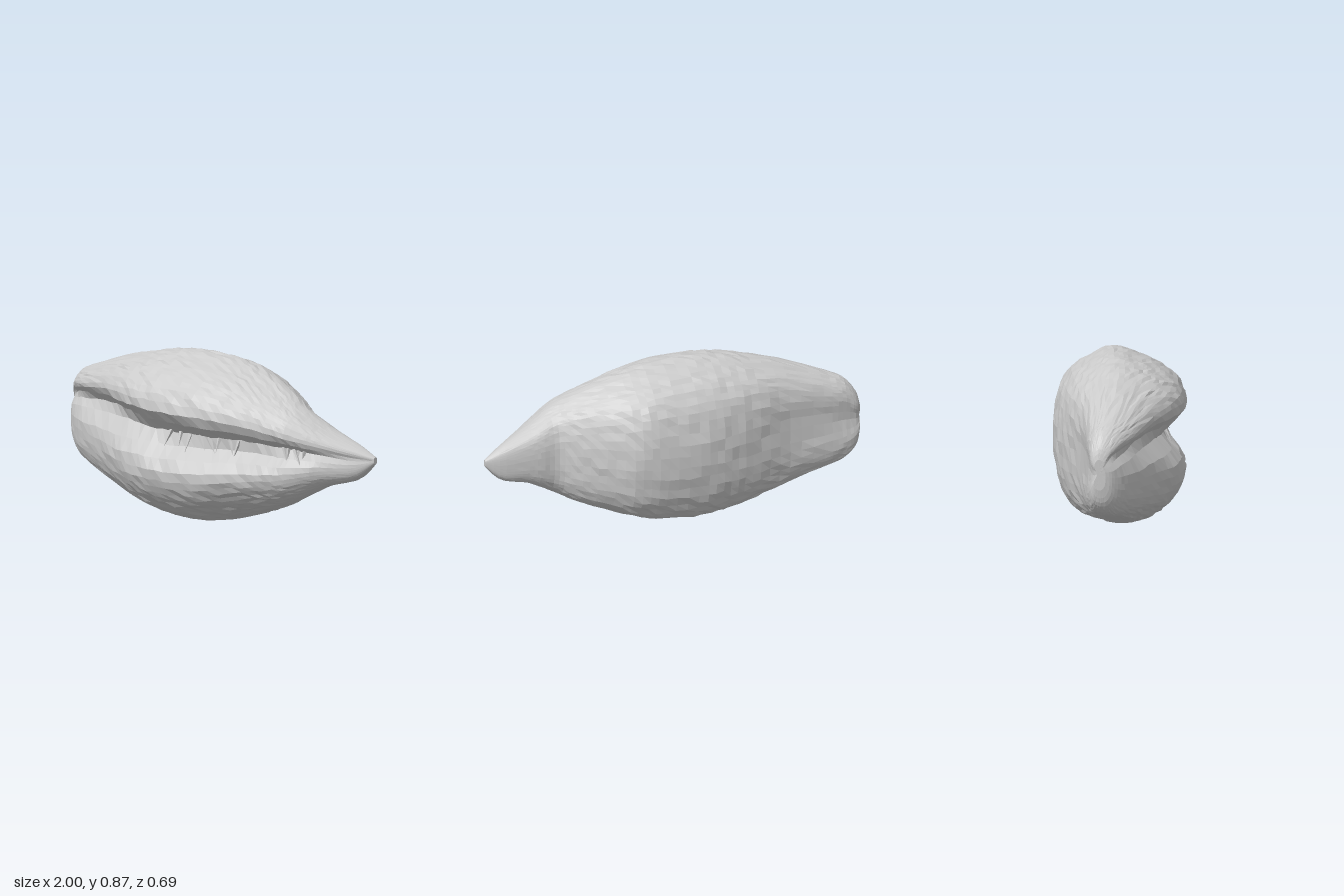
import * as THREE from 'three';

// Stations along the grain: x, bottom y, top y, back z, front z, groove depth, groove y,
// squareness (1 = round slice, lower = fuller corners)
const STATIONS = [
  [-1.0, 0.37, 0.53, -0.105, -0.045, 0.01, 0.49, 0.8],
  [-0.98, 0.29, 0.59, -0.125, -0.005, 0.035, 0.52, 0.78],
  [-0.92, 0.225, 0.66, -0.14, 0.05, 0.05, 0.535, 0.76],
  [-0.82, 0.185, 0.70, -0.155, 0.11, 0.06, 0.54, 0.76],
  [-0.6, 0.115, 0.775, -0.193, 0.205, 0.09, 0.535, 0.8],
  [-0.4, 0.058, 0.825, -0.26, 0.298, 0.11, 0.515, 0.86],
  [-0.25, 0.018, 0.855, -0.305, 0.338, 0.12, 0.49, 0.94],
  [-0.1, 0.0, 0.866, -0.332, 0.345, 0.13, 0.47, 0.97],
  [0.1, 0.018, 0.853, -0.343, 0.332, 0.14, 0.455, 0.97],
  [0.25, 0.06, 0.82, -0.328, 0.293, 0.13, 0.455, 0.97],
  [0.4, 0.11, 0.768, -0.25, 0.247, 0.11, 0.455, 0.95],
  [0.52, 0.155, 0.715, -0.173, 0.22, 0.10, 0.455, 0.9],
  [0.61, 0.2, 0.665, -0.118, 0.19, 0.08, 0.455, 0.86],
  [0.7, 0.25, 0.61, -0.118, 0.14, 0.05, 0.45, 0.82],
  [0.77, 0.285, 0.57, -0.116, 0.095, 0.025, 0.45, 0.8],
  [0.91, 0.327, 0.503, -0.107, 0.0, 0.01, 0.44, 0.8],
  [1.0, 0.415, 0.45, -0.09, -0.065, 0, 0.43, 0.8],
];

// Closed outline of one slice, z in -1..1 and y in 0..1, from the top over the back
const OUTLINE = new THREE.CatmullRomCurve3([
  [-0.1, 1], [-0.4, 0.95], [-0.78, 0.83], [-0.93, 0.69], [-1, 0.5], [-0.93, 0.25],
  [-0.73, 0.105], [-0.38, 0.035], [0, 0], [0.4, 0.04], [0.7, 0.125], [0.91, 0.23],
  [1, 0.34], [1, 0.52], [1, 0.7], [0.89, 0.805], [0.6, 0.9], [0.28, 0.96],
].map(([z, y]) => new THREE.Vector3(0, y, z)), true);

const RINGS = 56;
const SIDES = 72;
const outline = OUTLINE.getSpacedPoints(SIDES).slice(0, SIDES);

// Smooth value between stations
function station(t) {
  const f = t * (STATIONS.length - 1);
  const i = Math.min(Math.floor(f), STATIONS.length - 2);
  const u = f - i;
  const at = (k) => STATIONS[THREE.MathUtils.clamp(k, 0, STATIONS.length - 1)];
  return STATIONS[i].map((b, c) => {
    const a = at(i - 1)[c], d = at(i + 1)[c], e = at(i + 2)[c];
    return b + 0.5 * u * (d - a + u * (2 * a - 5 * b + 4 * d - e + u * (3 * (b - d) + e - a)));
  });
}

function seeded(seed) {
  return () => {
    seed = (seed * 16807) % 2147483647;
    return seed / 2147483647 - 0.5;
  };
}

const bell = (v) => Math.exp(-v * v);
const fuller = (v, k) => Math.sign(v) * Math.abs(v) ** k;

// Body skin: slices with a front groove that is steep above and sloping below
function bodyGeometry() {
  const rand = seeded(71);
  const pos = [], index = [];
  for (let i = 0; i <= RINGS; i++) {
    const [x, y0, y1, zb, zf, depth, gy, square] = station(i / RINGS);
    const h = y1 - y0;
    const rough = 0.009 * Math.min(1, h * h * 2);
    for (const p of outline) {
      const y = y0 + (0.5 + fuller(2 * p.y - 1, square) / 2) * h;
      let z = (zb + zf) / 2 + fuller(p.z, square) * (zf - zb) / 2;
      const d = (y - gy) / h;
      if (p.z > 0.5) z -= depth * bell(d / (d > 0 ? 0.09 : 0.12));
      // shallow dent along the back toward the blunt end
      if (p.z < -0.5) z += 0.018 * bell((p.y - 0.52) / 0.12) * THREE.MathUtils.smoothstep(-x, 0.2, 0.8);
      pos.push(x + rand() * rough * 0.6, y + rand() * rough, z + rand() * rough);
    }
  }
  for (let i = 0; i < RINGS; i++) {
    for (let j = 0; j < SIDES; j++) {
      const a = i * SIDES + j, c = i * SIDES + (j + 1) % SIDES;
      index.push(a, a + SIDES, c, c, a + SIDES, c + SIDES);
    }
  }
  // end caps
  for (const ring of [0, RINGS]) {
    const [x, y0, y1, zb, zf] = station(ring / RINGS);
    const centre = pos.length / 3;
    pos.push(x, (y0 + y1) / 2, (zb + zf) / 2);
    for (let j = 0; j < SIDES; j++) {
      const a = ring * SIDES + j, b = ring * SIDES + (j + 1) % SIDES;
      if (ring === 0) index.push(centre, a, b);
      else index.push(centre, b, a);
    }
  }
  const geo = new THREE.BufferGeometry();
  geo.setAttribute('position', new THREE.Float32BufferAttribute(pos, 3));
  geo.setIndex(index);
  geo.computeVertexNormals();
  return geo;
}

// Station at a given x
function stationAtX(x) {
  let lo = 0, hi = 1;
  for (let k = 0; k < 24; k++) {
    const mid = (lo + hi) / 2;
    if (station(mid)[0] < x) lo = mid;
    else hi = mid;
  }
  return station(lo);
}

export function createModel() {
  const group = new THREE.Group();
  const material = new THREE.MeshStandardMaterial({ color: 0xcccccc, flatShading: true });

  const body = new THREE.Mesh(bodyGeometry(), material);
  body.name = 'grainBody';
  group.add(body);

  // Thin ragged fibres lying across the groove
  const fibres = new THREE.Group();
  fibres.name = 'grooveFibres';
  const rand = seeded(19);
  const up = new THREE.Vector3(0, 1, 0);
  for (const [from, to, count] of [[-0.1, 0.3, 8], [0.56, 0.68, 5]]) {
    for (let i = 0; i < count; i++) {
      const x = from + (to - from) * i / (count - 1);
      const [, , , , zf, depth, gy] = stationAtX(x);
      const root = new THREE.Vector3(x, gy + 0.025, zf - depth * 0.9);
      const tip = new THREE.Vector3(x + 0.03 + rand() * 0.1, gy - 0.06 + rand() * 0.05, zf - depth * 0.6);
      const dir = tip.clone().sub(root);
      const fibre = new THREE.Mesh(new THREE.ConeGeometry(0.012, dir.length(), 4), material);
      fibre.name = 'fibre';
      fibre.position.copy(root).addScaledVector(dir, 0.5);
      fibre.quaternion.setFromUnitVectors(up, dir.normalize());
      fibres.add(fibre);
    }
  }
  group.add(fibres);
  return group;
}
